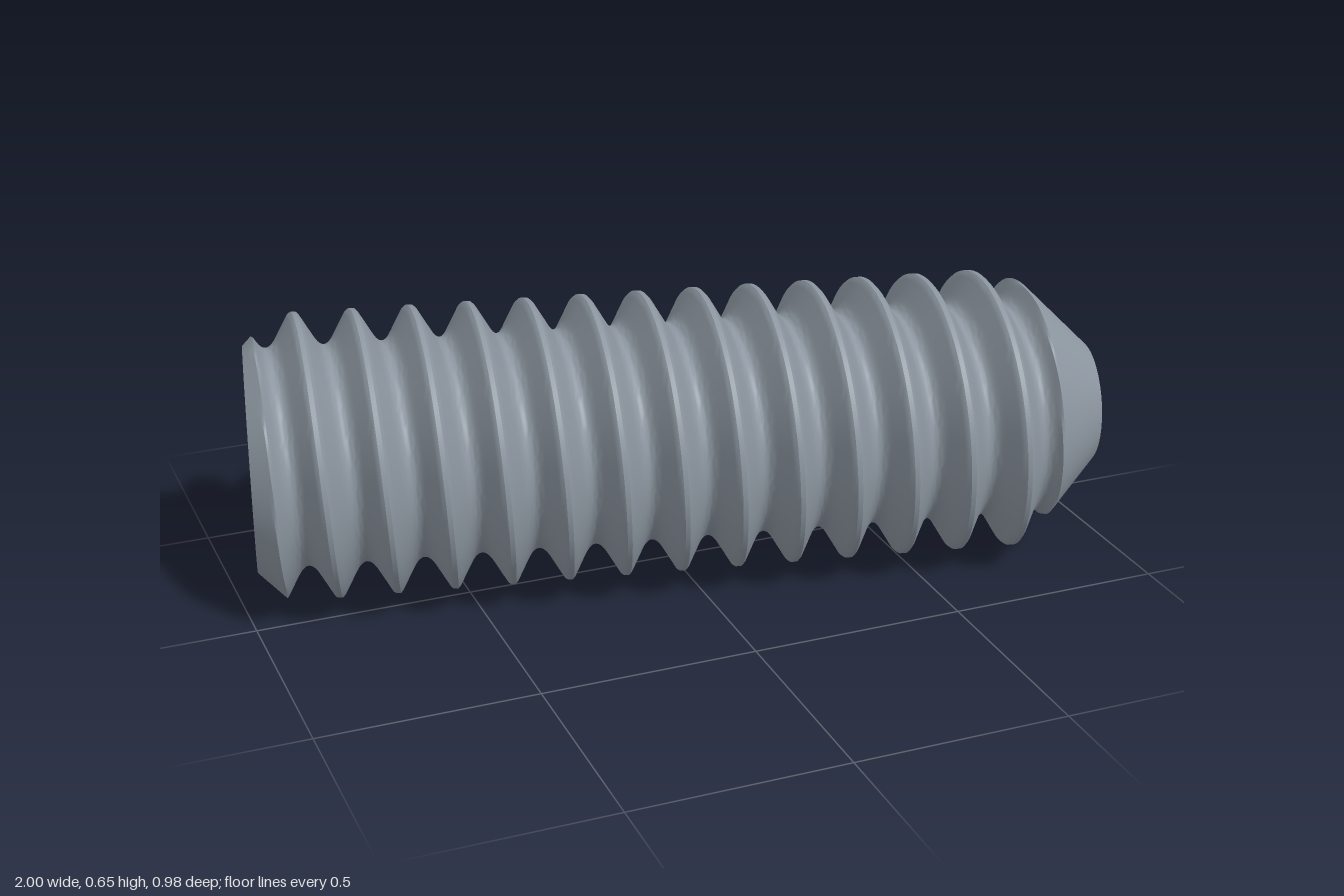
import * as THREE from 'three';
import { toCreasedNormals } from 'three/addons/utils/BufferGeometryUtils.js';

const R = 0.327;            // crest radius
const PITCH = 0.131;
const T0 = -0.967, T1 = 0.991; // socket end and cup end along the axis
const END_R = 0.257, CUP_R = 0.143;
const HEX_R = 0.189, HEX_DEPTH = 0.33;
const TAU = Math.PI * 2;
const SEG = 96, ROWS = 24;  // samples per turn and per pitch

// Thread radius at a distance along the axis: flat crest, 60 degree flanks, rounded root
function threadRadius(u) {
  const p = (u + 0.842) / PITCH;
  const d = Math.abs(p - Math.round(p)) * PITCH;
  const s = Math.max(0, d - 0.04);
  const drop = 1.732 * (Math.min(Math.max(d - 0.008, 0), 0.032) + s - (s * s) / 0.051);
  return R - drop;
}

// Thread trimmed by the 45 degree chamfers of both ends
function surfaceRadius(t, phi) {
  return Math.min(threadRadius(t - PITCH * phi / TAU), END_R + t - T0, CUP_R + T1 - t);
}

// Body sampled on rows that follow the helix
function threadedBody() {
  const pos = [], ts = [], index = [];
  const count = Math.ceil((T1 - T0 + PITCH) / PITCH * ROWS) + 1;
  for (let j = 0; j < count; j++) {
    for (let i = 0; i <= SEG; i++) {
      const phi = i / SEG * TAU;
      const u = T0 - PITCH + j * PITCH / ROWS;
      const t = Math.min(T1, Math.max(T0, u + PITCH * i / SEG));
      const r = surfaceRadius(t, phi);
      pos.push(t, r * Math.cos(phi), r * Math.sin(phi));
      ts.push(t);
    }
  }
  const tri = (a, b, c) => {
    if (ts[a] !== ts[b] || ts[b] !== ts[c]) index.push(a, b, c);
  };
  for (let j = 0; j < count - 1; j++) {
    for (let i = 0; i < SEG; i++) {
      const a = j * (SEG + 1) + i, c = a + SEG + 1;
      tri(a, a + 1, c);
      tri(a + 1, c + 1, c);
    }
  }
  const g = new THREE.BufferGeometry();
  g.setAttribute('position', new THREE.Float32BufferAttribute(pos, 3));
  g.setIndex(index);
  return toCreasedNormals(g, 0.6);
}

// Flat end ring with a hexagonal opening
function socketFace() {
  const ring = (n, radius) => Array.from({ length: n }, (_, i) => {
    const phi = i / n * TAU, r = radius(phi);
    return new THREE.Vector2(r * Math.sin(phi), r * Math.cos(phi));
  });
  const shape = new THREE.Shape(ring(SEG, (phi) => surfaceRadius(T0, phi)));
  shape.holes.push(new THREE.Path(ring(6, () => HEX_R)));
  return new THREE.ShapeGeometry(shape).rotateY(-Math.PI / 2).translate(T0, 0, 0);
}

function faceted(geometry) {
  const g = geometry.toNonIndexed();
  g.computeVertexNormals();
  return g;
}

export function createModel() {
  const model = new THREE.Group();
  model.name = 'setScrew';
  const steel = new THREE.MeshStandardMaterial({ color: 0x8d97a1, side: THREE.DoubleSide });
  steel.name = 'steel grey';

  const screw = new THREE.Group();
  screw.name = 'screw';
  const add = (name, geometry) => {
    const mesh = new THREE.Mesh(geometry, steel);
    mesh.name = name;
    screw.add(mesh);
  };

  add('threadedBody', threadedBody());
  add('socketFace', socketFace());

  // Hexagonal key socket with a shallow conical floor
  add('socketWalls', faceted(new THREE.CylinderGeometry(HEX_R, HEX_R, HEX_DEPTH, 6, 1, true, Math.PI / 6)
    .rotateZ(-Math.PI / 2).translate(T0 + HEX_DEPTH / 2, 0, 0)));
  add('socketFloor', faceted(new THREE.ConeGeometry(HEX_R, 0.06, 6, 1, true, Math.PI / 6)
    .rotateZ(-Math.PI / 2).translate(T0 + HEX_DEPTH + 0.03, 0, 0)));

  // Hollow cone in the tip
  add('cupPoint', new THREE.ConeGeometry(CUP_R, 0.075, SEG, 1, true)
    .rotateZ(Math.PI / 2).translate(T1 - 0.0375, 0, 0));

  screw.rotation.y = -THREE.MathUtils.degToRad(12);
  screw.position.y = R;
  model.add(screw);
  return model;
}
